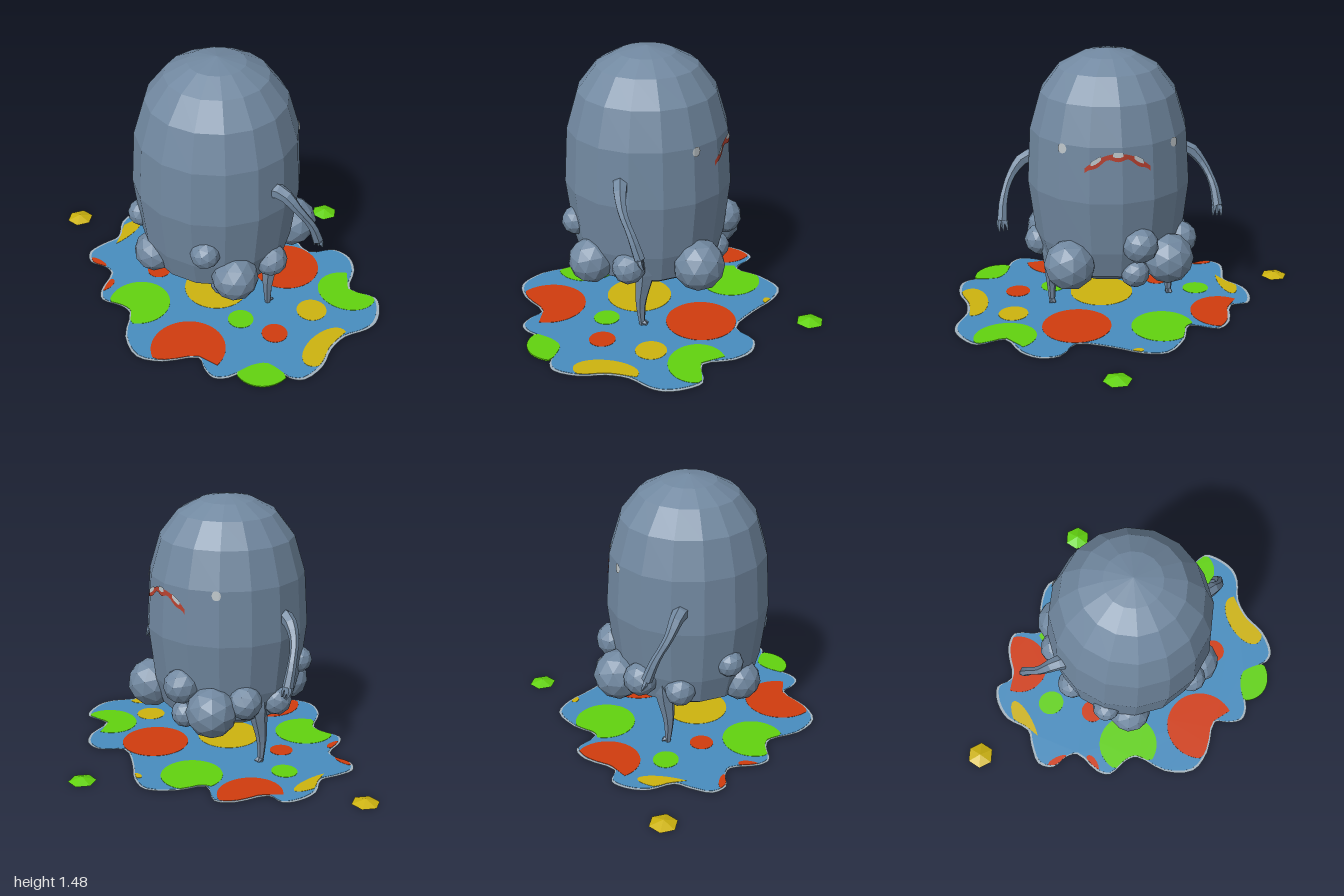
import * as THREE from 'three';

const paint = (name, color, extra = {}) => {
  const m = new THREE.MeshStandardMaterial({ color, ...extra });
  m.name = name;
  return m;
};
const flat = { flatShading: true };
const both = { side: THREE.DoubleSide };

// Body axis and facet count
const CX = 0.1, CZ = 0.12, SIDES = 16;

// Splat outline as x, z pairs
const OUTLINE = [
  -0.09, -0.6, 0.04, -0.58, 0.19, -0.49, 0.37, -0.42, 0.47, -0.53, 0.58, -0.53, 0.67, -0.45, 0.74, -0.3,
  0.89, -0.33, 0.96, -0.26, 1, -0.16, 0.99, -0.08, 0.93, 0.04, 0.925, 0.16, 0.96, 0.29, 0.94, 0.43,
  0.88, 0.47, 0.74, 0.465, 0.68, 0.53, 0.63, 0.67, 0.57, 0.72, 0.49, 0.7, 0.42, 0.66, 0.29, 0.8,
  0.16, 0.86, 0.01, 0.79, -0.1, 0.64, -0.17, 0.63, -0.29, 0.66, -0.35, 0.61, -0.41, 0.465, -0.48, 0.45,
  -0.57, 0.47, -0.64, 0.41, -0.63, 0.29, -0.61, 0.2, -0.69, 0.08, -0.7, -0.04, -0.66, -0.13, -0.56, -0.14,
  -0.5, -0.32, -0.42, -0.395, -0.27, -0.33, -0.21, -0.47];

// Radially tapered tube through the given points
function limb(points, radii, steps = 8, sides = 6) {
  const curve = new THREE.CatmullRomCurve3(points.map(p => new THREE.Vector3(...p)));
  const geo = new THREE.TubeGeometry(curve, steps, 1, sides);
  const pos = geo.attributes.position, v = new THREE.Vector3();
  for (let i = 0; i < pos.count; i++) {
    const t = Math.floor(i / (sides + 1)) / steps;
    const k = t * (radii.length - 1), j = Math.min(Math.floor(k), radii.length - 2);
    const r = THREE.MathUtils.lerp(radii[j], radii[j + 1], k - j);
    const c = curve.getPointAt(t);
    v.fromBufferAttribute(pos, i).sub(c).multiplyScalar(r).add(c);
    pos.setXYZ(i, v.x, v.y, v.z);
  }
  return geo;
}

// Flat slab lying on the ground between two heights
function slab(points, bottom, top) {
  const geo = new THREE.ExtrudeGeometry(new THREE.Shape(points), { depth: top - bottom, bevelEnabled: false });
  return geo.rotateX(Math.PI / 2).translate(0, top, 0);
}

// Ellipse trimmed where it would cross the outline
function spotPoints(x, z, rx, rz, edge) {
  const pts = [];
  for (let i = 0; i < 48; i++) {
    const a = (i / 48) * Math.PI * 2, dx = Math.cos(a) * rx, dz = Math.sin(a) * rz;
    let t = 1;
    edge.forEach((p, j) => {
      const q = edge[(j + 1) % edge.length], ex = q.x - p.x, ez = q.y - p.y;
      const den = dx * ez - dz * ex;
      if (Math.abs(den) < 1e-9) return;
      const s = ((p.x - x) * ez - (p.y - z) * ex) / den;
      const u = ((p.x - x) * dz - (p.y - z) * dx) / den;
      if (s > 0 && u >= 0 && u <= 1) t = Math.min(t, s);
    });
    pts.push(new THREE.Vector2(x + dx * t, z + dz * t));
  }
  return pts;
}

// Thin patch hugging the faceted back; angles in degrees from the back towards -x
function patch(a0, a1, top, bottom, steps, lift) {
  const pos = [], index = [], step = (Math.PI * 2) / SIDES;
  for (let i = 0; i <= steps; i++) {
    const t = (i / steps) * 2 - 1;
    const phi = Math.PI + THREE.MathUtils.degToRad(a0 + ((a1 - a0) * i) / steps);
    for (const y of [top(t), bottom(t)]) {
      const r = (0.45 - (y - 0.75) * 0.0667) * Math.cos(step / 2) / Math.cos((phi % step) - step / 2) + lift;
      pos.push(CX + Math.sin(phi) * r, y, CZ + Math.cos(phi) * r);
    }
    if (i) index.push(2 * i - 2, 2 * i - 1, 2 * i, 2 * i, 2 * i - 1, 2 * i + 1);
  }
  const geo = new THREE.BufferGeometry();
  geo.setAttribute('position', new THREE.Float32BufferAttribute(pos, 3));
  geo.setIndex(index);
  geo.computeVertexNormals();
  return geo;
}

export function createModel() {
  const model = new THREE.Group();
  const skin = paint('slate skin', 0x7188a0, flat);
  const blue = paint('splat blue', 0x488dbf);
  const red = paint('spot red', 0xd03c0e);
  const green = paint('spot green', 0x62d20f, flat);
  const yellow = paint('spot yellow', 0xcdb30f, flat);
  const rim = paint('rim grey', 0xa3b3bf);
  const lips = paint('mouth red', 0xb5402f, both);
  const white = paint('tooth white', 0xbcc4c8, both);
  const add = (name, geo, mat, parent = model) => {
    const m = new THREE.Mesh(geo, mat);
    m.name = name;
    parent.add(m);
    return m;
  };
  const group = name => {
    const g = new THREE.Group();
    g.name = name;
    model.add(g);
    return g;
  };

  // Domed body
  const profile = [[0, 0.25], [0.3, 0.25], [0.375, 0.3], [0.415, 0.45], [0.45, 0.75], [0.43, 1.05],
    [0.37, 1.25], [0.27, 1.38], [0.15, 1.445], [0, 1.475]].map(p => new THREE.Vector2(...p));
  add('body', new THREE.LatheGeometry(profile, SIDES), skin).position.set(CX, 0, CZ);

  // Boulders around the base: x, y, z, radius
  const boulders = group('boulders');
  [[-0.06, 0.36, 0.45, 0.115], [0.42, 0.37, 0.36, 0.125], [-0.19, 0.53, 0.41, 0.075], [0.31, 0.54, 0.47, 0.08],
    [-0.28, 0.38, 0.16, 0.085], [0.49, 0.385, 0.14, 0.09], [0.37, 0.375, -0.21, 0.14], [0, 0.49, -0.28, 0.1],
    [-0.17, 0.37, -0.21, 0.14], [-0.27, 0.42, -0.06, 0.095], [0.02, 0.31, -0.24, 0.08], [0.34, 0.29, 0.36, 0.07]
  ].forEach(([x, y, z, r], i) => {
    const b = add('boulder', new THREE.IcosahedronGeometry(r, 1), skin, boulders);
    b.position.set(x, y, z);
    b.rotation.set(i * 1.3, i * 0.8, i * 0.5);
  });

  // Arms with fingers, legs with toes
  for (const s of [1, -1]) {
    const side = s > 0 ? 'left' : 'right';
    const at = pts => pts.map(([x, y, z]) => [CX + s * x, y, z]);
    const arm = group(side + 'Arm');
    add('arm', limb(at([[0.4, 0.87, 0.17], [0.46, 0.87, 0.16], [0.54, 0.785, 0.13], [0.59, 0.67, 0.07], [0.605, 0.56, 0.03]]),
      [0.045, 0.036, 0.026, 0.022, 0.026, 0.03], 10), skin, arm);
    for (const f of [-1, 0, 1]) {
      add('finger', limb(at([[0.605, 0.585, 0.035], [0.605 + f * 0.02, 0.545, 0.025], [0.6 + f * 0.022, 0.503, 0.01 - f * 0.006]]),
        [0.016, 0.014, 0.004], 4, 5), skin, arm);
    }
    const leg = group(side + 'Leg');
    add('leg', limb(at([[0.33, 0.44, 0.06], [0.335, 0.3, 0.07], [0.34, 0.15, 0.09], [0.34, 0.012, 0.085]]),
      [0.062, 0.056, 0.04, 0.026, 0.016], 8), skin, leg);
    for (const f of [-1, 0, 1]) {
      add('toe', limb(at([[0.34, 0.03, 0.09], [0.34 + f * 0.008, 0.026, 0.07], [0.34 + f * 0.014, 0.018, 0.055]]),
        [0.015, 0.013, 0.004], 3, 5), skin, leg);
    }
  }

  // Face on the back: drooping mouth, teeth and eyes
  const face = group('face');
  const arch = t => 1.02 - 0.08 * t * t;
  add('mouth', patch(-26, 20, arch, t => arch(t) - 0.034 - 0.009 * Math.cos(t * 10), 24, 0.004), lips, face);
  for (const c of [-0.65, 0, 0.65]) {
    const a = -3 + c * 23;
    add('tooth', patch(a - 3.5, a + 3.5, t => arch(c + t * 0.15) + 0.008, t => arch(c + t * 0.15) - 0.02 + 0.008 * t * t, 4, 0.007), white, face);
  }
  for (const a of [-43, 43]) {
    const bow = t => 0.026 * Math.sqrt(Math.max(0, 1 - t * t));
    add('eye', patch(a - 3.4, a + 3.4, t => 1.03 + bow(t), t => 1.03 - bow(t), 10, 0.005), white, face);
  }

  // Ground splat: grey rim, blue sheet and coloured spots
  const splat = group('splat');
  const knots = [];
  for (let i = 0; i < OUTLINE.length; i += 2) knots.push(new THREE.Vector3(OUTLINE[i], OUTLINE[i + 1], 0));
  const outer = new THREE.CatmullRomCurve3(knots, true).getPoints(132).slice(0, -1).map(p => new THREE.Vector2(p.x, p.y));
  const inner = outer.map(p => new THREE.Vector2(0.15 + (p.x - 0.15) * 0.98, 0.13 + (p.y - 0.13) * 0.98));
  add('rim', slab(outer, 0.005, 0.007), rim, splat);
  add('sheet', slab(inner, 0.0035, 0.0085), blue, splat);
  const spots = [
    [red, [[-0.48, -0.2, 0.17, 0.18], [0.34, -0.22, 0.19, 0.19], [0.62, 0.26, 0.07, 0.07], [0.33, 0.64, 0.2, 0.2],
      [-0.21, 0.27, 0.065, 0.065], [-0.53, 0.445, 0.06, 0.02], [-0.355, 0.56, 0.03, 0.06]]],
    [green, [[-0.12, -0.31, 0.17, 0.17], [0.735, -0.27, 0.17, 0.15], [0.71, 0.48, 0.15, 0.16], [-0.11, 0.545, 0.17, 0.17],
      [-0.41, 0.11, 0.075, 0.07], [0.41, 0.29, 0.07, 0.07]]],
    [yellow, [[0.67, -0.015, 0.083, 0.083], [0.89, 0.17, 0.09, 0.17], [-0.61, 0.16, 0.05, 0.16], [0.14, 0.17, 0.18, 0.18],
      [0.06, -0.545, 0.03, 0.02]]]
  ];
  for (const [mat, list] of spots) {
    for (const s of list) add('spot', slab(spotPoints(...s, inner), 0.002, 0.01), mat, splat);
  }

  // Loose six-sided droplets
  for (const [x, z, mat] of [[0.215, -0.8, green], [-0.925, 0.21, yellow]]) {
    const d = add('droplet', new THREE.ConeGeometry(0.077, 0.024, 6), mat);
    d.position.set(x, 0.012, z);
    d.rotation.y = Math.PI / 2;
  }
  return model;
}
